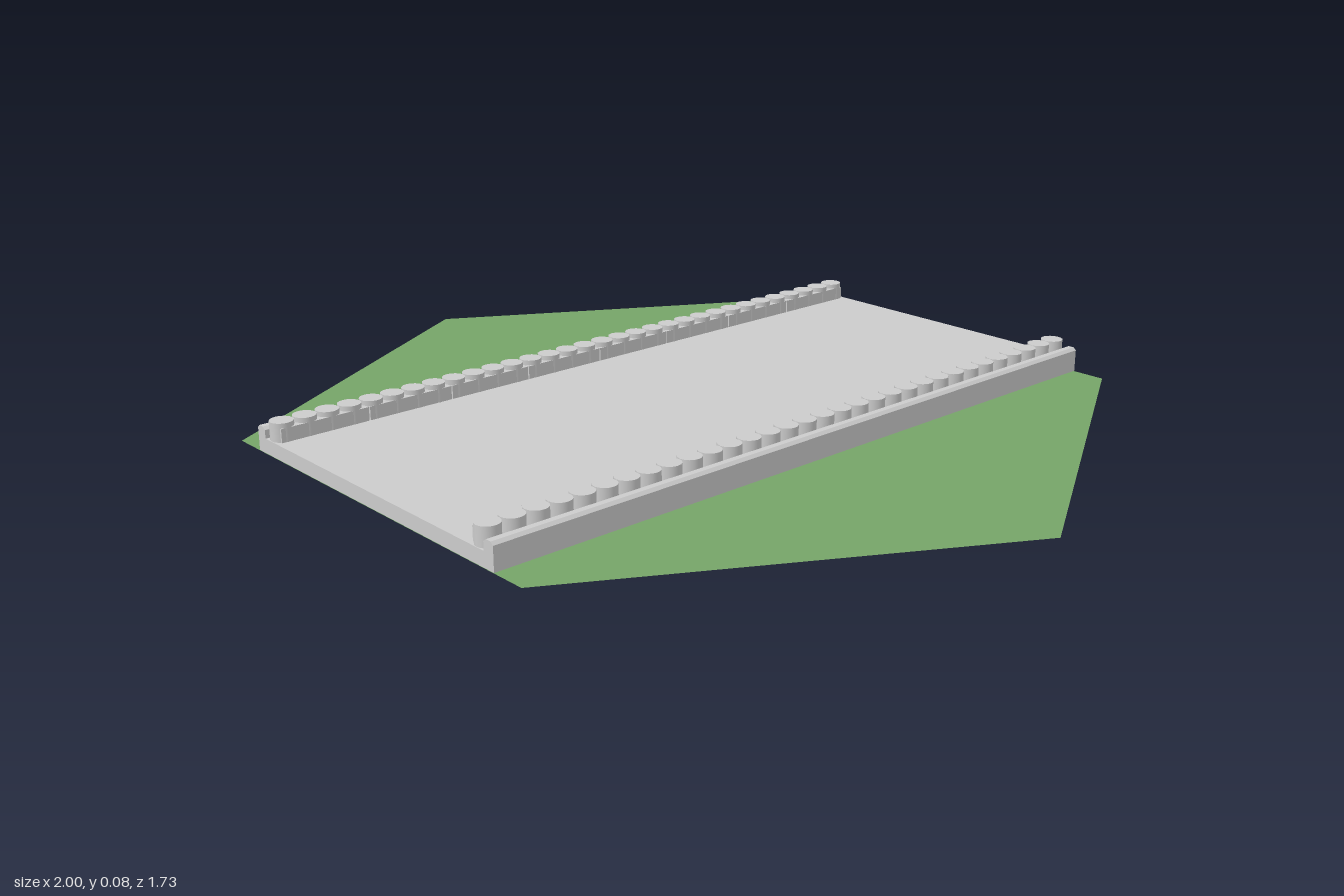
import * as THREE from 'three';

const HALF = 0.866; // half length of the road along z

export function createModel() {
  const model = new THREE.Group();
  const grey = new THREE.MeshStandardMaterial({ color: 0xcccccc });
  const green = new THREE.MeshStandardMaterial({ color: 0x75a467, side: THREE.DoubleSide });

  const add = (name, geometry, material, x = 0, y = 0, z = 0, parent = model) => {
    const mesh = new THREE.Mesh(geometry, material);
    mesh.name = name;
    mesh.position.set(x, y, z);
    parent.add(mesh);
    return mesh;
  };

  // flat hexagonal ground tile with corners on the x axis
  const hex = new THREE.CircleGeometry(1, 6).rotateX(-Math.PI / 2);
  add('groundTile', hex, green);

  // road deck with a chamfered kerb on each side, as one U-shaped section
  const right = [
    [0.42, 0.001], [0.42, 0.053], [0.413, 0.059], [0.399, 0.059], [0.391, 0.053], [0.391, 0.034],
  ];
  const section = [...right, ...right.map(([x, y]) => [-x, y]).reverse()];
  const shape = new THREE.Shape(section.map(([x, y]) => new THREE.Vector2(x, y)));
  const deck = new THREE.ExtrudeGeometry(shape, { depth: 2 * HALF, bevelEnabled: false });
  add('roadDeck', deck.translate(0, 0, -HALF), grey);

  // parapets: a row of round posts with segmented panels along the inner side
  const posts = 32, panels = 8;
  const postPitch = (2 * HALF) / posts, panelPitch = (2 * HALF - 0.02) / panels;
  const postGeo = new THREE.CylinderGeometry(0.026, 0.026, 0.045, 16);
  const panelGeo = new THREE.BoxGeometry(0.022, 0.032, panelPitch - 0.003);
  for (const side of [-1, 1]) {
    const parapet = new THREE.Group();
    parapet.name = side > 0 ? 'leftParapet' : 'rightParapet';
    for (let i = 0; i < posts; i++) {
      add('post', postGeo, grey, side * 0.367, 0.0535, -HALF + (i + 0.5) * postPitch, parapet);
    }
    for (let i = 0; i < panels; i++) {
      const z = (i - (panels - 1) / 2) * panelPitch;
      add('innerPanel', panelGeo, grey, side * 0.353, 0.049, z, parapet);
    }
    model.add(parapet);
  }

  return model;
}
